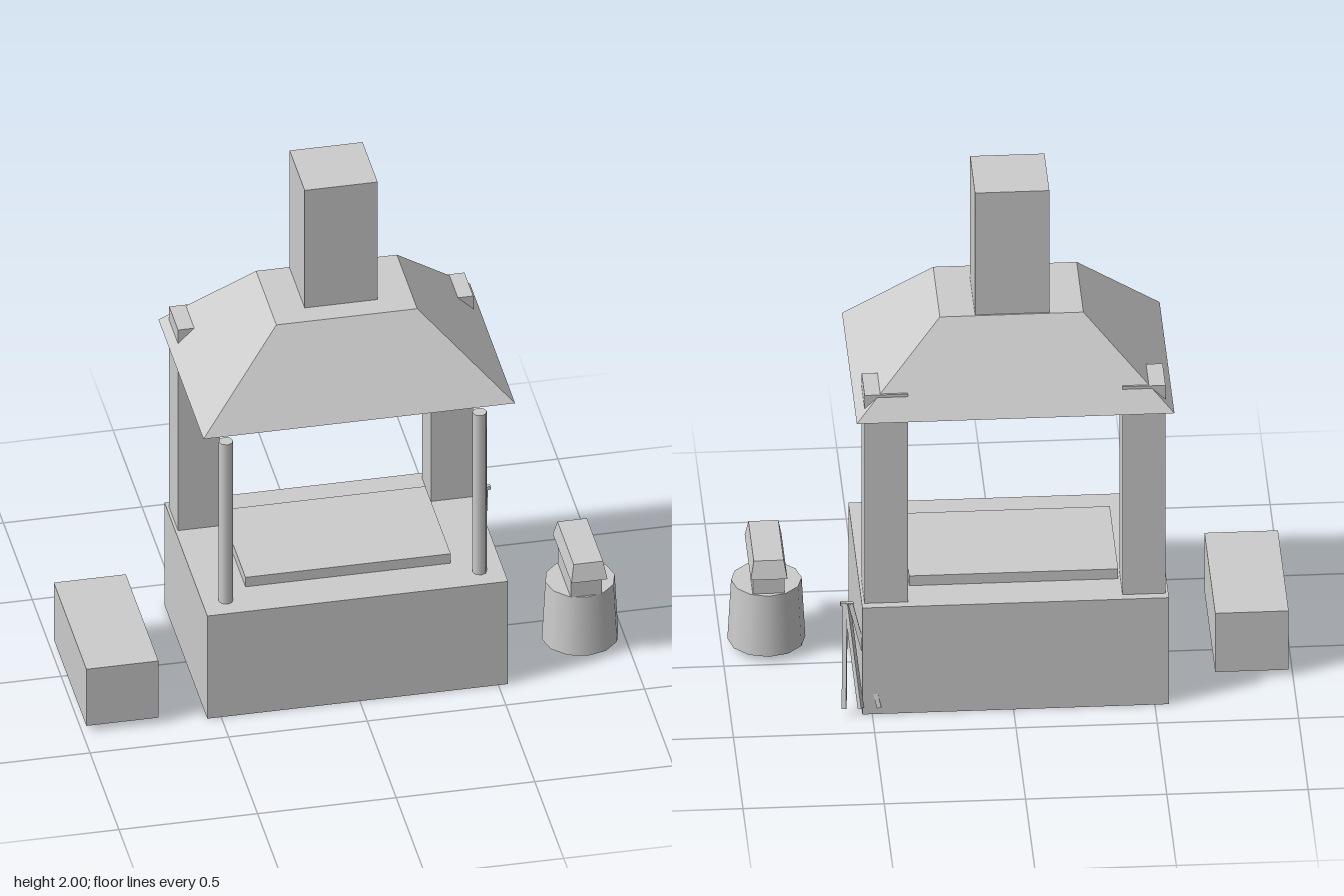
import * as THREE from 'three';

export function createModel() {
  const group = new THREE.Group();
  const grey = new THREE.MeshStandardMaterial({ color: 0xcccccc });
  grey.name = 'plain grey';

  const add = (name, geometry) => {
    const mesh = new THREE.Mesh(geometry, grey);
    mesh.name = name;
    group.add(mesh);
    return mesh;
  };

  // Box given by its extents
  const box = (name, x0, x1, y0, y1, z0, z1) => {
    const mesh = add(name, new THREE.BoxGeometry(x1 - x0, y1 - y0, z1 - z0));
    mesh.position.set((x0 + x1) / 2, (y0 + y1) / 2, (z0 + z1) / 2);
    return mesh;
  };

  // Box whose upper face is replaced by a smaller rectangle
  const frustum = (name, [x0, x1, z0, z1], [u0, u1, w0, w1], y0, y1) => {
    const source = new THREE.BoxGeometry(1, 1, 1);
    const p = source.attributes.position;
    for (let i = 0; i < p.count; i++) {
      const top = p.getY(i) > 0, right = p.getX(i) > 0, front = p.getZ(i) > 0;
      p.setXYZ(i,
        top ? (right ? u1 : u0) : (right ? x1 : x0),
        top ? y1 : y0,
        top ? (front ? w1 : w0) : (front ? z1 : z0));
    }
    source.computeVertexNormals();
    return add(name, source);
  };

  // Square bar between two points
  const bar = (name, from, to, thickness) => {
    const a = new THREE.Vector3(...from), b = new THREE.Vector3(...to);
    const mesh = add(name, new THREE.BoxGeometry(thickness, a.distanceTo(b), thickness));
    mesh.position.copy(a).add(b).multiplyScalar(0.5);
    mesh.quaternion.setFromUnitVectors(new THREE.Vector3(0, 1, 0), b.sub(a).normalize());
    return mesh;
  };

  // Forge body
  box('hearthBase', -0.55, 0.535, 0, 0.435, -0.37, 0.37);
  box('fireBed', -0.38, 0.36, 0.435, 0.475, -0.225, 0.215);

  // Rear pillars poke out through the hood; slim posts stand in front
  box('rightPillar', -0.54, -0.388, 0.435, 1.285, -0.338, -0.185);
  box('leftPillar', 0.372, 0.525, 0.435, 1.285, -0.338, -0.185);
  for (const [name, x] of [['rightPost', -0.465], ['leftPost', 0.45]]) {
    add(name, new THREE.CylinderGeometry(0.026, 0.026, 0.675, 8)).position.set(x, 0.7725, 0.285);
  }

  // Hood and chimney
  frustum('hood', [-0.568, 0.556, -0.39, 0.39], [-0.26, 0.248, -0.178, 0.174], 1.2, 1.502);
  box('chimney', -0.14, 0.123, 1.5, 2, -0.172, 0.088);

  // Trough beside the forge
  box('trough', -0.985, -0.725, 0.025, 0.265, -0.2, 0.365);

  // Anvil on its stump
  add('stump', new THREE.CylinderGeometry(0.125, 0.138, 0.24, 12)).position.set(0.84, 0.145, 0.15);
  box('anvilNeck', 0.783, 0.895, 0.265, 0.355, 0.045, 0.265);
  frustum('anvilHead', [0.776, 0.906, -0.012, 0.31], [0.788, 0.894, 0.01, 0.29], 0.355, 0.42);

  // Tools leaning against the side of the base
  bar('toolOuter', [0.59, 0.405, -0.28], [0.6, 0.03, -0.375], 0.016);
  bar('toolMiddle', [0.583, 0.405, -0.28], [0.541, 0.03, -0.375], 0.016);
  bar('toolInner', [0.57, 0.4, -0.28], [0.476, 0.03, -0.375], 0.016);
  bar('toolCrossbar', [0.56, 0.398, -0.28], [0.607, 0.404, -0.28], 0.014);

  return group;
}
